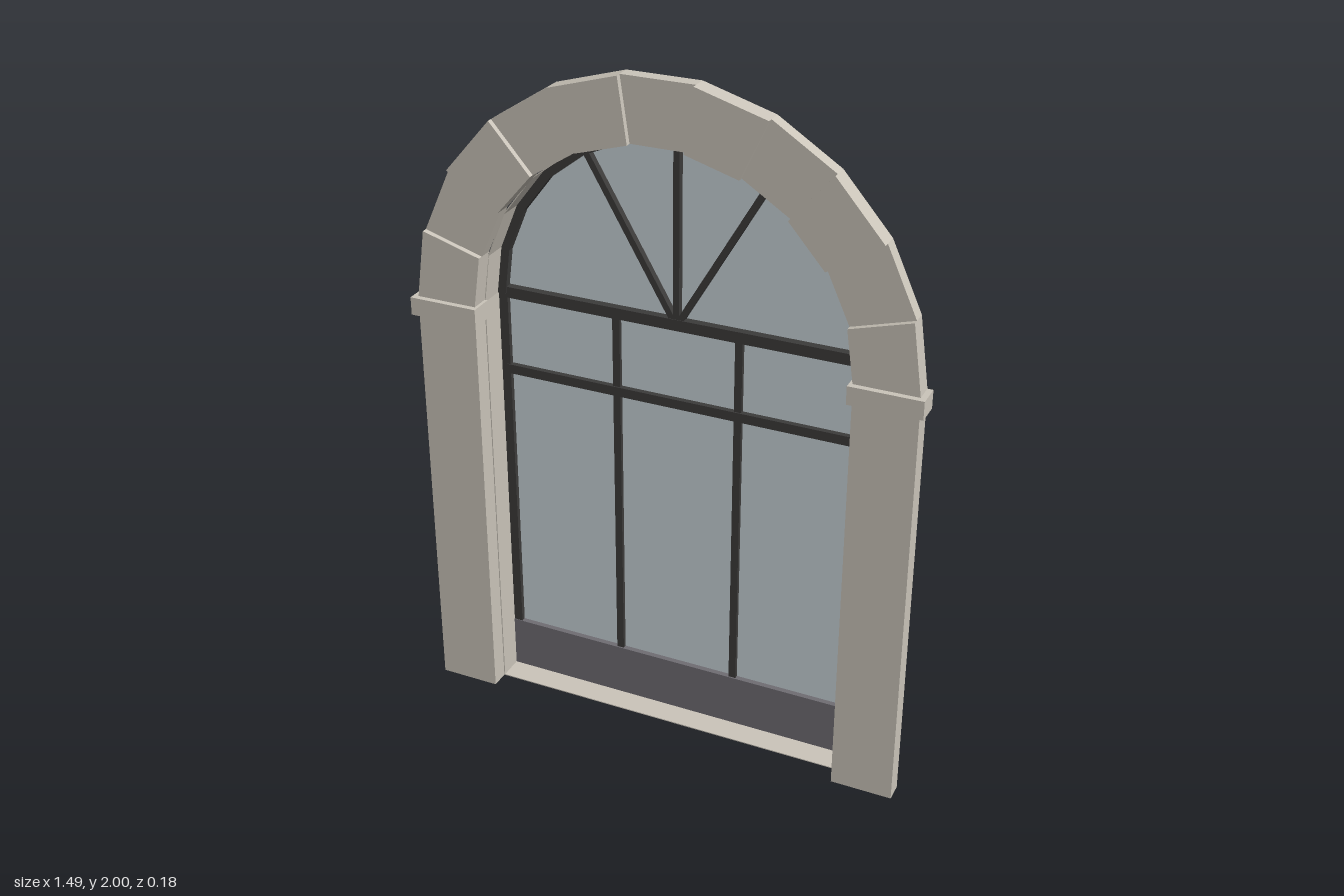
import * as THREE from 'three';

const SPRING = 1.277;            // height where the arch begins
const R_IN = 0.55, R_OUT = 0.73; // stone opening and outer radius
const BACK = -0.09, STONE_BACK = 0.018;

const mat = (color) => new THREE.MeshStandardMaterial({ color, flatShading: true });

export function createModel() {
  const group = new THREE.Group();
  const stone = mat(0xcbc5ba), metal = mat(0x3c3b3a), panel = mat(0x6f6d73), glass = mat(0xc9d3d8);
  glass.side = THREE.DoubleSide;

  const add = (name, geometry, material) => {
    const mesh = new THREE.Mesh(geometry, material);
    mesh.name = name;
    group.add(mesh);
    return mesh;
  };
  // box given by its limits on each axis
  const box = (name, material, x0, x1, y0, y1, z0, z1) => {
    const mesh = add(name, new THREE.BoxGeometry(x1 - x0, y1 - y0, z1 - z0), material);
    mesh.position.set((x0 + x1) / 2, (y0 + y1) / 2, (z0 + z1) / 2);
    return mesh;
  };
  const polar = (r, a) => new THREE.Vector2(r * Math.cos(a), SPRING + r * Math.sin(a));
  // points along an arc above the springing line
  const arc = (r, n, a0 = 0, a1 = Math.PI) =>
    Array.from({ length: n + 1 }, (_, i) => polar(r, a0 + ((a1 - a0) * i) / n));
  const extrude = (name, shape, material, z0, z1) => {
    const mesh = add(name, new THREE.ExtrudeGeometry(shape, { depth: z1 - z0, bevelEnabled: false }), material);
    mesh.position.z = z0;
    return mesh;
  };

  // Stone arch: eleven wedge blocks, every other one proud
  const BLOCKS = 11;
  for (let i = 0; i < BLOCKS; i++) {
    const a0 = (Math.PI * i) / BLOCKS, a1 = (Math.PI * (i + 1)) / BLOCKS;
    const wedge = new THREE.Shape([polar(R_IN, a0), polar(R_OUT, a0), polar(R_OUT, a1), polar(R_IN, a1)]);
    extrude('archBlock', wedge, stone, STONE_BACK, i % 2 ? 0.057 : 0.073);
  }

  // Thin lining around the opening, closed at the floor
  const outline = (r, y) => [new THREE.Vector2(-r, y), new THREE.Vector2(r, y), ...arc(r, 12)];
  const lining = new THREE.Shape(outline(R_IN, 0));
  lining.holes.push(new THREE.Path(outline(R_IN - 0.003, 0.003)));
  extrude('revealLining', lining, stone, BACK, STONE_BACK);

  // Pillars, imposts and side stiles, mirrored
  const mirrored = (name, material, x0, x1, ...rest) => {
    box(name, material, x0, x1, ...rest);
    box(name, material, -x1, -x0, ...rest);
  };
  mirrored('pillar', stone, R_IN, R_OUT, 0, SPRING, STONE_BACK, 0.073);
  mirrored('impost', stone, 0.54, 0.745, 1.23, 1.283, STONE_BACK, 0.09);
  mirrored('sideStile', metal, 0.52, 0.547, 0.165, SPRING, -0.088, -0.058);
  mirrored('mullion', metal, 0.172, 0.194, 0.165, 1.27, -0.087, -0.06);

  // Horizontal bars and base panel
  box('transom', metal, -0.53, 0.53, 1.265, 1.298, -0.088, -0.055);
  box('upperRail', metal, -0.53, 0.53, 1.026, 1.054, -0.088, -0.056);
  box('basePanel', panel, -0.547, 0.547, 0.003, 0.165, -0.0895, -0.056);

  // Curved frame of the fanlight
  const band = new THREE.Shape([...arc(0.547, 12), ...arc(0.522, 12).reverse()]);
  extrude('archFrame', band, metal, -0.072, -0.052);

  // Fan bars spreading from the middle of the transom
  for (const angle of [-Math.PI / 6, 0, Math.PI / 6]) {
    const bar = new THREE.BoxGeometry(0.018, 0.53, 0.02).translate(0, 0.265, 0);
    const mesh = add('fanBar', bar, metal);
    mesh.position.set(0, SPRING, -0.067);
    mesh.rotation.z = angle;
  }

  // Glass
  box('lowerGlass', glass, -0.525, 0.525, 0.16, 1.27, -0.076, -0.072);
  extrude('fanlightGlass', new THREE.Shape(arc(0.525, 12)), glass, -0.082, -0.078);

  return group;
}
